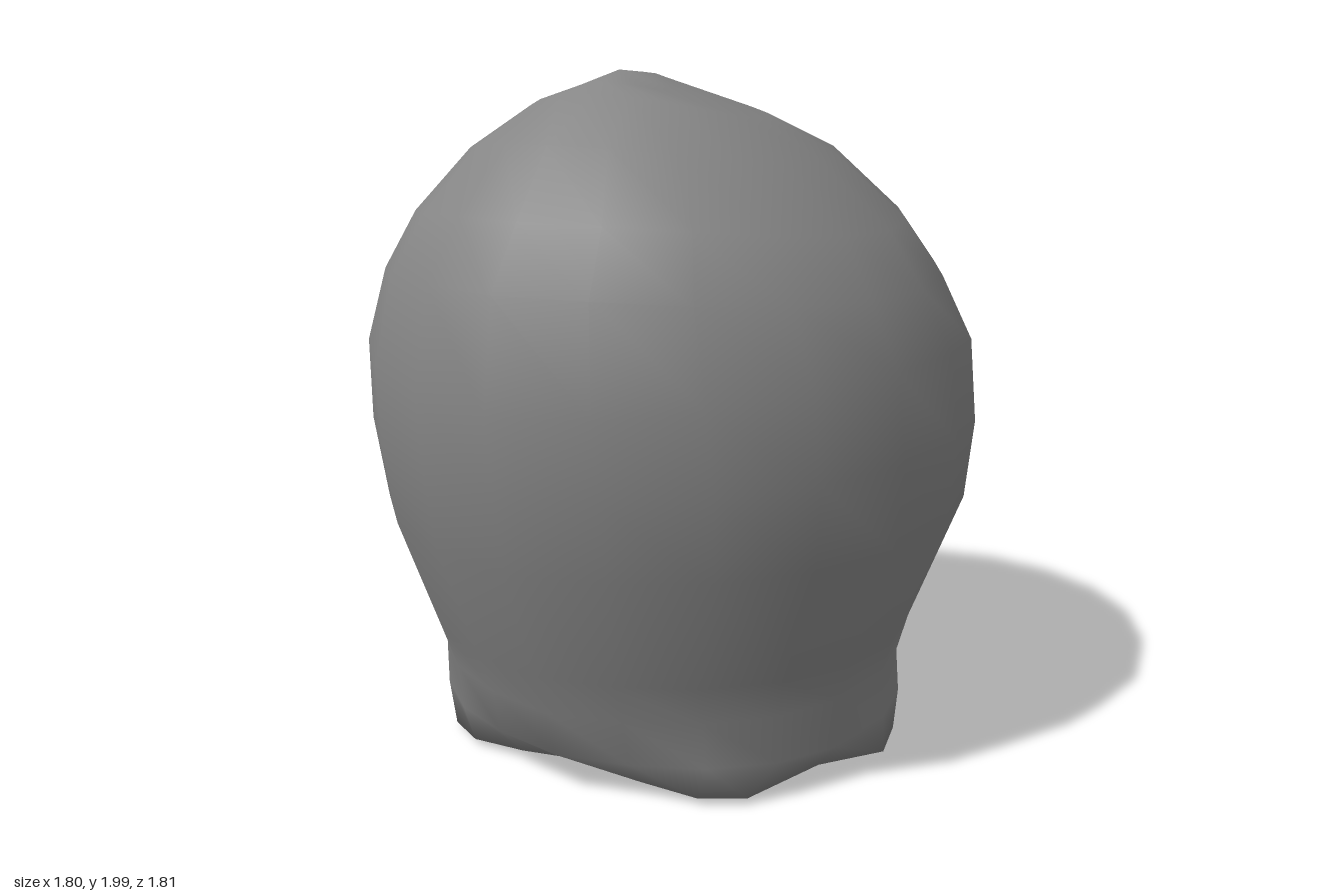
import * as THREE from 'three';

const SIDES = 20;

// Rings from crown to collar: front z, front y, back z, back y, half width, side y, front squareness
const RINGS = [
  [0.33, 1.97, 0.12, 1.99, 0.14, 1.95, 1],
  [0.40, 1.94, -0.20, 1.90, 0.35, 1.87, 1],
  [0.61, 1.82, -0.45, 1.81, 0.52, 1.76, 1],
  [0.75, 1.64, -0.64, 1.63, 0.71, 1.58, 1],
  [0.87, 1.47, -0.81, 1.46, 0.80, 1.42, 1],
  [0.91, 1.17, -0.90, 1.15, 0.88, 1.25, 1],
  [0.88, 0.95, -0.90, 0.95, 0.90, 1.00, 1],
  [0.84, 0.73, -0.90, 0.78, 0.87, 0.75, 1],
  [0.72, 0.40, -0.74, 0.40, 0.73, 0.38, 1],
  [0.66, 0.27, -0.69, 0.27, 0.70, 0.27, 0.95],
  [0.62, 0.13, -0.71, 0.13, 0.70, 0.13, 0.8],
];

// Uneven lower rim, from the front round to the back of one side
const RIM = [
  [0, 0.06, 0.49], [0.20, 0.04, 0.49], [0.38, 0.03, 0.48], [0.50, 0.03, 0.41],
  [0.61, 0.06, 0.18], [0.70, 0.01, -0.09], [0.67, 0.02, -0.24], [0.59, 0.025, -0.38],
  [0.44, 0.02, -0.50], [0.21, 0.02, -0.60], [0, 0.01, -0.64],
];

// Point on a ring; the angle starts at the front and turns towards +x
function ringPoint([zf, yf, zb, yb, w, ys, square], j) {
  const a = (j / SIDES) * Math.PI * 2;
  const c = Math.cos(a);
  const s = Math.sin(a);
  const reach = c > 0 ? Math.pow(c, square) : c;
  // the front centre line stands out as a soft ridge
  const ridge = c > 0.5 && j !== 0 ? 0.975 : 1;
  const y = ys + ((yf - yb) / 2) * c + ((yf + yb) / 2 - ys) * c * c;
  // the widest points sit slightly behind the middle
  const z = (zf + zb) / 2 + ((zf - zb) / 2) * reach * ridge - 0.05 * w * s * s;
  return [s * w, y, z];
}

// Mirrors the rim's one-sided outline onto the other side
function rimPoint(j) {
  const [x, y, z] = RIM[Math.min(j, SIDES - j)];
  return [j > SIDES / 2 ? -x : x, y, z];
}

// Rounded body with a small peak at the crown, a flared collar and a closed underside
function bodyGeometry() {
  const points = [[0, 2, 0.25]];
  const index = [];
  const id = (i, j) => 1 + i * SIDES + (j % SIDES);
  const last = RINGS.length;
  const under = 1 + (last + 1) * SIDES;
  for (let i = 0; i <= last; i++) {
    for (let j = 0; j < SIDES; j++) {
      points.push(i < last ? ringPoint(RINGS[i], j) : rimPoint(j));
      if (i === 0) index.push(0, id(0, j), id(0, j + 1));
      else {
        index.push(id(i - 1, j), id(i, j), id(i, j + 1));
        index.push(id(i - 1, j), id(i, j + 1), id(i - 1, j + 1));
      }
      if (i === last) index.push(under, id(i, j + 1), id(i, j));
    }
  }
  points.push([0, 0.04, -0.07]);

  const g = new THREE.BufferGeometry();
  g.setAttribute('position', new THREE.Float32BufferAttribute(points.flat(), 3));
  g.setIndex(index);
  g.computeVertexNormals();
  return g;
}

export function createModel() {
  const group = new THREE.Group();
  const body = new THREE.Mesh(bodyGeometry(), new THREE.MeshStandardMaterial({ color: 0x868686 }));
  body.name = 'body';
  group.add(body);
  return group;
}
